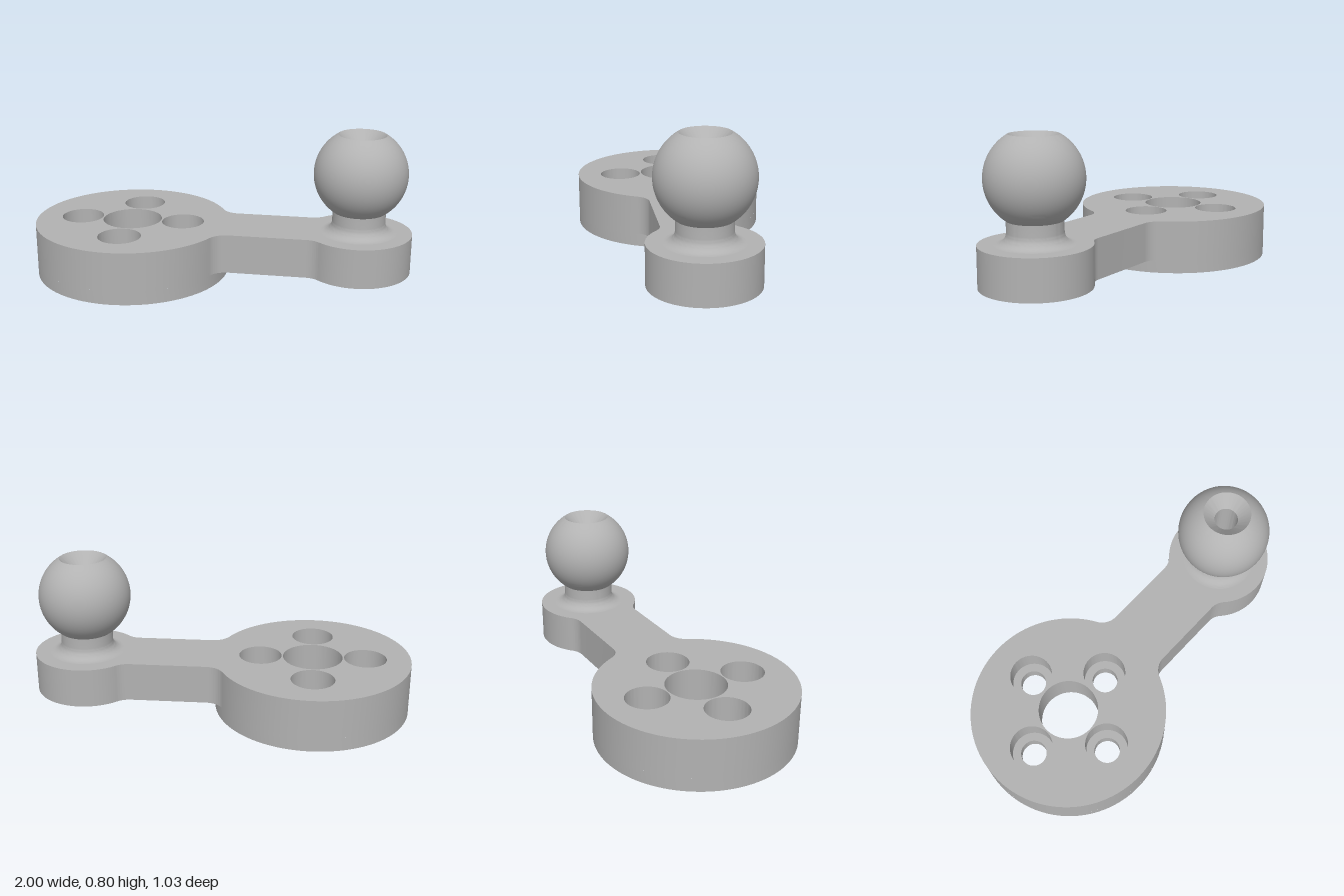
import * as THREE from 'three';
import { toCreasedNormals } from 'three/addons/utils/BufferGeometryUtils.js';

const DISC_X = -0.484, DISC_R = 0.516;   // large mounting disc
const END_X = 0.724, END_R = 0.276;      // small end under the ball
const ARM = 0.175, FILLET = 0.1;         // arm half width, blend radius
const TOP = 0.277, UNDER = 0.07;         // plate top and underside
const BOLT = 0.277, BORE_R = 0.157, STUD_R = 0.196, SCREW_R = 0.06;
const HEX_R = 0.104, HEX_TOP = 0.17;

const circle = (x, y, r) => new THREE.Path().absarc(x, y, r, 0, Math.PI * 2, false);

function hexagon() {
  const pts = [];
  for (let i = 0; i < 6; i++) {
    const a = i * Math.PI / 3;
    pts.push(new THREE.Vector2(END_X + HEX_R * Math.cos(a), HEX_R * Math.sin(a)));
  }
  return pts;
}

// Two discs joined by an arm, with tangent fillets at all four corners
function outlinePoints() {
  const h = ARM + FILLET, PI = Math.PI;
  const d1 = Math.sqrt((DISC_R + FILLET) ** 2 - h * h), a = Math.atan2(h, d1);
  const d2 = Math.sqrt((END_R + FILLET) ** 2 - h * h), b = Math.atan2(h, d2);
  const p = new THREE.Path();
  p.absarc(DISC_X, 0, DISC_R, a, 2 * PI - a, false);
  p.absarc(DISC_X + d1, -h, FILLET, PI - a, PI / 2, true);
  p.absarc(END_X - d2, -h, FILLET, PI / 2, b, true);
  p.absarc(END_X, 0, END_R, b - PI, PI - b, false);
  p.absarc(END_X - d2, h, FILLET, -b, -PI / 2, true);
  p.absarc(DISC_X + d1, h, FILLET, -PI / 2, a - PI, true);
  const pts = p.getPoints(48);
  return pts.filter((q, i) => q.distanceTo(pts[(i + 1) % pts.length]) > 1e-4);
}

// Flat face at height y, facing up or down
function cap(points, holes, y, up) {
  const shape = new THREE.Shape(points);
  shape.holes = holes;
  const g = new THREE.ShapeGeometry(shape, 48);
  return g.rotateX(up ? -Math.PI / 2 : Math.PI / 2).translate(0, y, 0);
}

// Vertical wall along a closed loop; counterclockwise loops face outward
function wall(points, y0, y1) {
  const pos = [], idx = [], n = points.length;
  points.forEach((p, i) => {
    const k = 2 * i, m = 2 * ((i + 1) % n);
    pos.push(p.x, y0, -p.y, p.x, y1, -p.y);
    idx.push(k, m, m + 1, k, m + 1, k + 1);
  });
  const g = new THREE.BufferGeometry();
  g.setAttribute('position', new THREE.Float32BufferAttribute(pos, 3));
  g.setIndex(idx);
  g.computeVertexNormals();
  return toCreasedNormals(g, 0.6);
}

// Turned surface: profiles run up on the outside and down on the inside
function turned(profile, x, z) {
  const pts = profile.map(([r, y]) => new THREE.Vector2(r, y));
  return toCreasedNormals(new THREE.LatheGeometry(pts, 96), 0.45).translate(x, 0, z);
}

export function createModel() {
  const group = new THREE.Group();
  const grey = new THREE.MeshStandardMaterial({ color: 0xb2b2b2 });
  grey.name = 'grey';
  const add = (name, geometry) => {
    const mesh = new THREE.Mesh(geometry, grey);
    mesh.name = name;
    group.add(mesh);
  };

  const outline = outlinePoints();
  const bolts = [0, 1, 2, 3].map(i => [
    DISC_X + BOLT * Math.cos(i * Math.PI / 2), BOLT * Math.sin(i * Math.PI / 2)]);

  // Plate
  add('plateTop', cap(outline, [
    circle(DISC_X, 0, BORE_R), circle(END_X, 0, STUD_R),
    ...bolts.map(([x, z]) => circle(x, z, 0.112))], TOP, true));
  add('plateSide', wall(outline, UNDER, TOP));
  add('plateUnderside', cap(outline, [
    circle(DISC_X, 0, BORE_R), new THREE.Path(hexagon()),
    ...bolts.map(([x, z]) => circle(x, z, 0.068))], UNDER, false));

  // Lower rim around the recess beneath the disc
  add('lowerRim', turned([[0.39, UNDER], [0.39, 0], [DISC_R, 0], [DISC_R, UNDER]], DISC_X, 0));

  // Centre bore and counterbored bolt holes
  add('centreBore', turned([[BORE_R, TOP], [BORE_R, UNDER]], DISC_X, 0));
  bolts.forEach(([x, z], i) => add('boltHole' + (i + 1), turned(
    [[0.112, TOP], [0.112, 0.14], [0.068, 0.14], [0.068, UNDER]], x, z)));

  // Ball stud: flared foot, neck, ball, countersink and screw bore
  const neck = 0.137, flare = STUD_R - neck, ballY = 0.588, ballR = 0.24, ballTop = 0.795;
  const profile = [];
  for (let i = 0; i <= 12; i++) {
    const a = i / 12 * Math.PI / 2;
    profile.push([STUD_R - flare * Math.sin(a), TOP + flare * (1 - Math.cos(a))]);
  }
  const start = -Math.acos(neck / ballR), end = Math.asin((ballTop - ballY) / ballR);
  for (let i = 0; i <= 40; i++) {
    const a = start + (end - start) * i / 40;
    profile.push([ballR * Math.cos(a), ballY + ballR * Math.sin(a)]);
  }
  profile.push([SCREW_R, ballTop - 0.063], [SCREW_R, HEX_TOP]);
  add('ballStud', turned(profile, END_X, 0));

  // Hexagonal nut pocket under the ball
  add('nutPocketWall', wall(hexagon().reverse(), UNDER, HEX_TOP));
  add('nutPocketFloor', cap(hexagon(), [circle(END_X, 0, SCREW_R)], HEX_TOP, false));

  return group;
}
